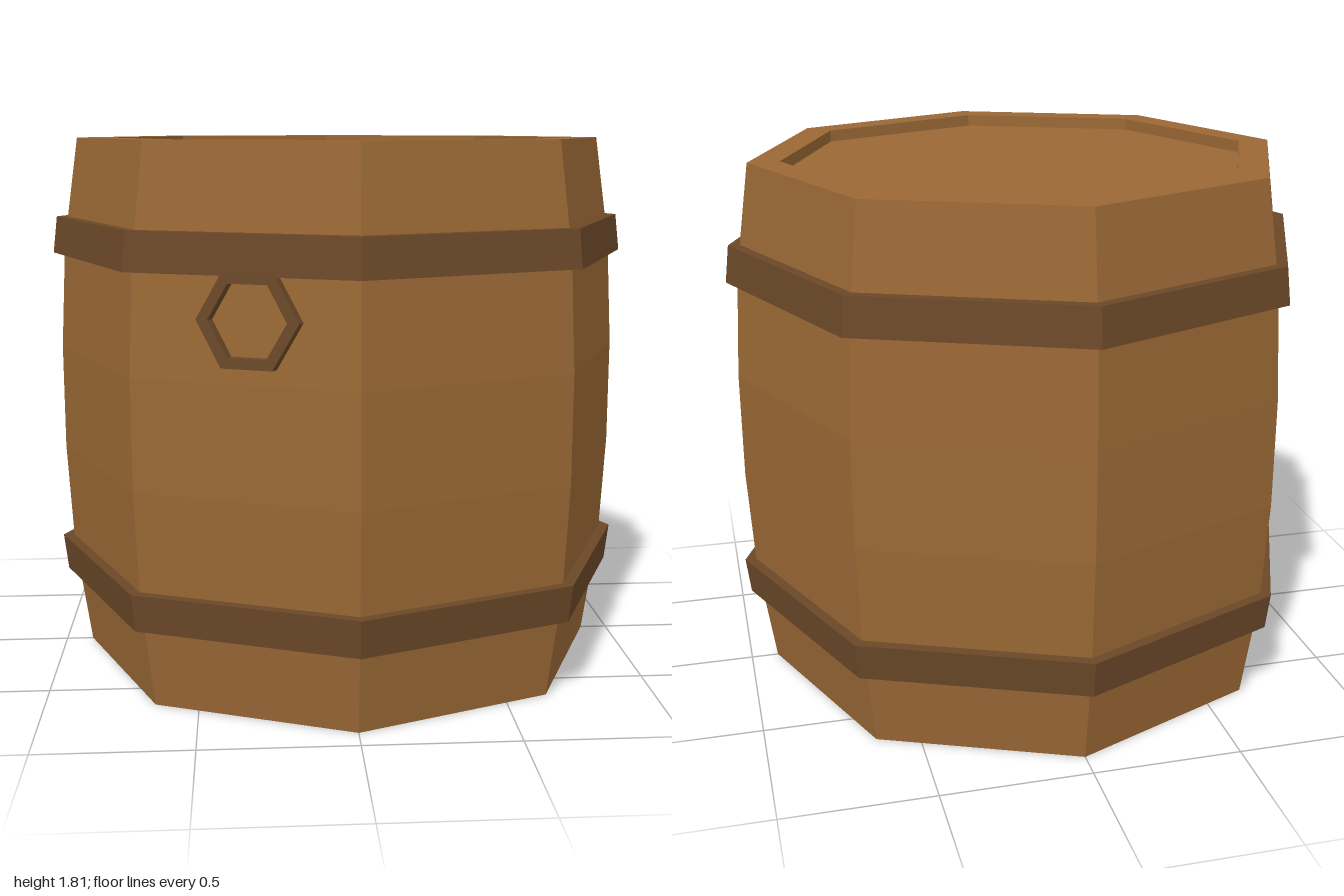
import * as THREE from 'three';

const SIDES = 8;
const H = 1.81;

const wood = new THREE.MeshStandardMaterial({ color: 0x9a6835, flatShading: true });
const darkWood = new THREE.MeshStandardMaterial({ color: 0x6b4828, flatShading: true });

// Octagonal solid turned from [radius, y] pairs, outer side running upwards
function turned(name, profile, material) {
  const points = profile.map(([r, y]) => new THREE.Vector2(r, y));
  const mesh = new THREE.Mesh(new THREE.LatheGeometry(points, SIDES), material);
  mesh.name = name;
  return mesh;
}

function hexagon(Type, radius) {
  const points = [];
  for (let i = 0; i < 6; i++) {
    const a = (i * Math.PI) / 3;
    points.push(new THREE.Vector2(radius * Math.cos(a), radius * Math.sin(a)));
  }
  return new Type(points);
}

export function createModel() {
  const group = new THREE.Group();
  group.name = 'barrel';

  // Bulging body with a recessed lid and base
  const rim = 0.8, recess = 0.04;
  group.add(turned('body', [
    [0, recess], [rim, recess], [rim, 0],
    [0.907, 0], [0.96, H * 0.2], [0.98, H * 0.4],
    [0.98, H * 0.6], [0.96, H * 0.8], [0.907, H],
    [rim, H], [rim, H - recess], [0, H - recess],
  ], wood));

  // Hoops, mirrored about mid-height, wider towards the middle
  const hoop = [[0.92, 0.27], [0.985, 0.27], [1.0, 0.395], [0.92, 0.395], [0.92, 0.27]];
  group.add(turned('lowerHoop', hoop, darkWood));
  group.add(turned('upperHoop', hoop.map(([r, y]) => [r, H - y]).reverse(), darkWood));

  // Hexagonal bung ring lying on the front right stave
  const shape = hexagon(THREE.Shape, 0.165);
  shape.holes.push(hexagon(THREE.Path, 0.127));
  const depth = 0.06;
  const ringGeometry = new THREE.ExtrudeGeometry(shape, { depth, bevelEnabled: false });
  ringGeometry.translate(0, 0, -depth);
  const ring = new THREE.Mesh(ringGeometry, darkWood);
  ring.name = 'bungRing';
  ring.position.set(0.027, 1.283, 0.933);
  ring.rotation.x = -0.055;
  const bung = new THREE.Group();
  bung.name = 'bung';
  bung.rotation.y = -Math.PI / SIDES;
  bung.add(ring);
  group.add(bung);

  return group;
}
